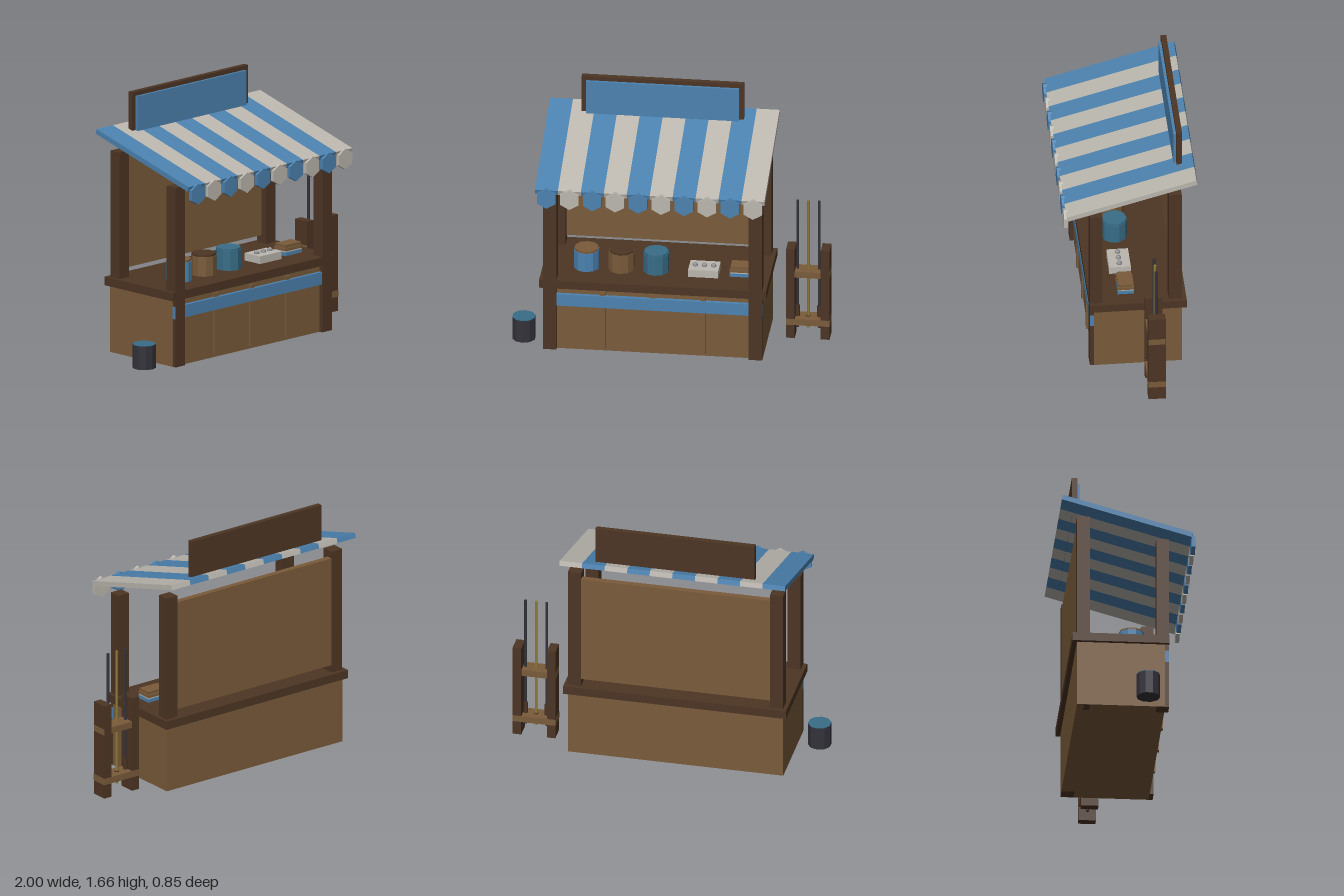
import * as THREE from 'three';

const mat = (name, color, extra = {}) => {
  const m = new THREE.MeshStandardMaterial({ color, ...extra });
  m.name = name;
  return m;
};

export function createModel() {
  const root = new THREE.Group();
  root.name = 'marketStall';

  const darkWood = mat('darkWood', 0x4d3524);
  const wood = mat('wood', 0x7a5b3a);
  const blue = mat('blueCloth', 0x4c82b0);
  const white = mat('whiteCloth', 0xbcb8b0);
  const teal = mat('teal', 0x386e88);
  const charcoal = mat('charcoal', 0x34333b);
  const metal = mat('greyMetal', 0x8e8e92);
  const brass = mat('brass', 0x8c7a38);
  [teal, charcoal, metal].forEach((m) => { m.flatShading = true; });

  const add = (name, geo, material, parent = root) => {
    const mesh = new THREE.Mesh(geo, material);
    mesh.name = name;
    parent.add(mesh);
    return mesh;
  };
  // Box given by its low and high limits on each axis
  const box = (name, material, [x0, x1], [y0, y1], [z0, z1], parent = root) => {
    const mesh = add(name, new THREE.BoxGeometry(x1 - x0, y1 - y0, z1 - z0), material, parent);
    mesh.position.set((x0 + x1) / 2, (y0 + y1) / 2, (z0 + z1) / 2);
    return mesh;
  };
  // Faceted upright cylinder between two heights
  const drum = (name, material, r, x, z, y0, y1, sides = 10, parent = root) => {
    const geo = new THREE.CylinderGeometry(r, r, y1 - y0, sides).toNonIndexed();
    geo.computeVertexNormals();
    const mesh = add(name, geo, material, parent);
    mesh.position.set(x, (y0 + y1) / 2, z);
    return mesh;
  };

  // Posts, the rear pair taller
  for (const x of [[-0.79, -0.705], [0.523, 0.608]]) {
    box('frontPost', darkWood, x, [0, 1.172], [0.18, 0.26]);
    box('backPost', darkWood, x, [0, 1.315], [-0.325, -0.243]);
  }

  // Counter, battens, cloth band and back wall
  box('counterBase', wood, [-0.791, 0.609], [0, 0.435], [-0.326, 0.235]);
  box('counterTop', darkWood, [-0.815, 0.633], [0.435, 0.49], [-0.355, 0.261]);
  for (const x of [-0.412, -0.091, 0.229]) {
    box('counterBatten', wood, [x - 0.017, x + 0.017], [0.015, 0.42], [0.23, 0.248]);
  }
  box('clothBand', blue, [-0.791, 0.609], [0.313, 0.394], [0.233, 0.259]);
  box('backWall', wood, [-0.789, 0.607], [0.54, 1.27], [-0.324, -0.285]);

  // Sloping striped awning with hexagonal scallops along the front
  const awning = new THREE.Group();
  awning.name = 'awning';
  awning.position.set(-0.0915, 1.311, -0.006);
  awning.rotation.x = 0.277;
  root.add(awning);
  const stripe = 0.1465;
  for (let i = 0; i < 10; i++) {
    const cloth = i % 2 ? white : blue;
    const x = (i - 4.5) * stripe;
    box('awningStripe', cloth, [x - stripe / 2, x + stripe / 2], [-0.0165, 0.0165], [-0.43, 0.43], awning);
    const scallop = drum('awningScallop', cloth, 0.068, 0, 0, -0.0125, 0.0125, 6);
    scallop.rotation.x = Math.PI / 2;
    scallop.position.set(x - 0.0915, 1.153, 0.413);
  }

  // Blank sign board above the roof
  box('signBoard', darkWood, [-0.61, 0.425], [1.39, 1.665], [-0.345, -0.31]);
  box('signFace', blue, [-0.58, 0.396], [1.41, 1.637], [-0.312, -0.292]);

  // Lidded barrels on the counter
  [[-0.537, blue, wood], [-0.315, wood, darkWood], [-0.093, teal, teal]].forEach(([x, body, lid]) => {
    drum('barrel', body, 0.0825, x, 0.0375, 0.49, 0.617);
    drum('barrelLid', lid, 0.078, x, 0.0375, 0.617, 0.63);
  });

  // Tray of small round goods
  box('tray', white, [0.118, 0.31], [0.49, 0.54], [-0.03, 0.108]);
  for (const x of [0.155, 0.214, 0.273]) {
    add('trayBall', new THREE.SphereGeometry(0.018, 8, 6), metal).position.set(x, 0.544, 0.04);
  }

  // Stack of folded goods
  box('stackBottom', blue, [0.38, 0.528], [0.49, 0.513], [-0.03, 0.075]);
  box('stackFiller', white, [0.383, 0.525], [0.513, 0.521], [-0.028, 0.073]);
  box('stackMiddle', wood, [0.38, 0.528], [0.521, 0.539], [-0.03, 0.075]);
  box('stackTop', wood, [0.384, 0.524], [0.541, 0.56], [-0.022, 0.07]);

  // Bucket on the ground
  drum('bucket', charcoal, 0.075, -0.9285, 0.117, 0, 0.153);
  drum('bucketLid', teal, 0.0745, -0.9285, 0.117, 0.153, 0.157);

  // Rack with three upright rods
  const rack = new THREE.Group();
  rack.name = 'rack';
  root.add(rack);
  for (const x of [[0.722, 0.777], [0.943, 0.999]]) {
    box('rackPost', darkWood, x, [0, 0.63], [-0.185, -0.075], rack);
  }
  box('rackLowerBar', wood, [0.721, 1], [0.092, 0.135], [-0.186, -0.074], rack);
  box('rackUpperBar', wood, [0.721, 1], [0.43, 0.472], [-0.184, -0.076], rack);
  [[0.79, charcoal], [0.858, brass], [0.927, charcoal]].forEach(([x, material]) => {
    drum('rod', material, 0.009, x, -0.13, 0.055, 0.957, 8, rack);
    drum('rodGrip', darkWood, 0.014, x, -0.13, 0.068, material === brass ? 0.14 : 0.21, 8, rack);
  });

  return root;
}
